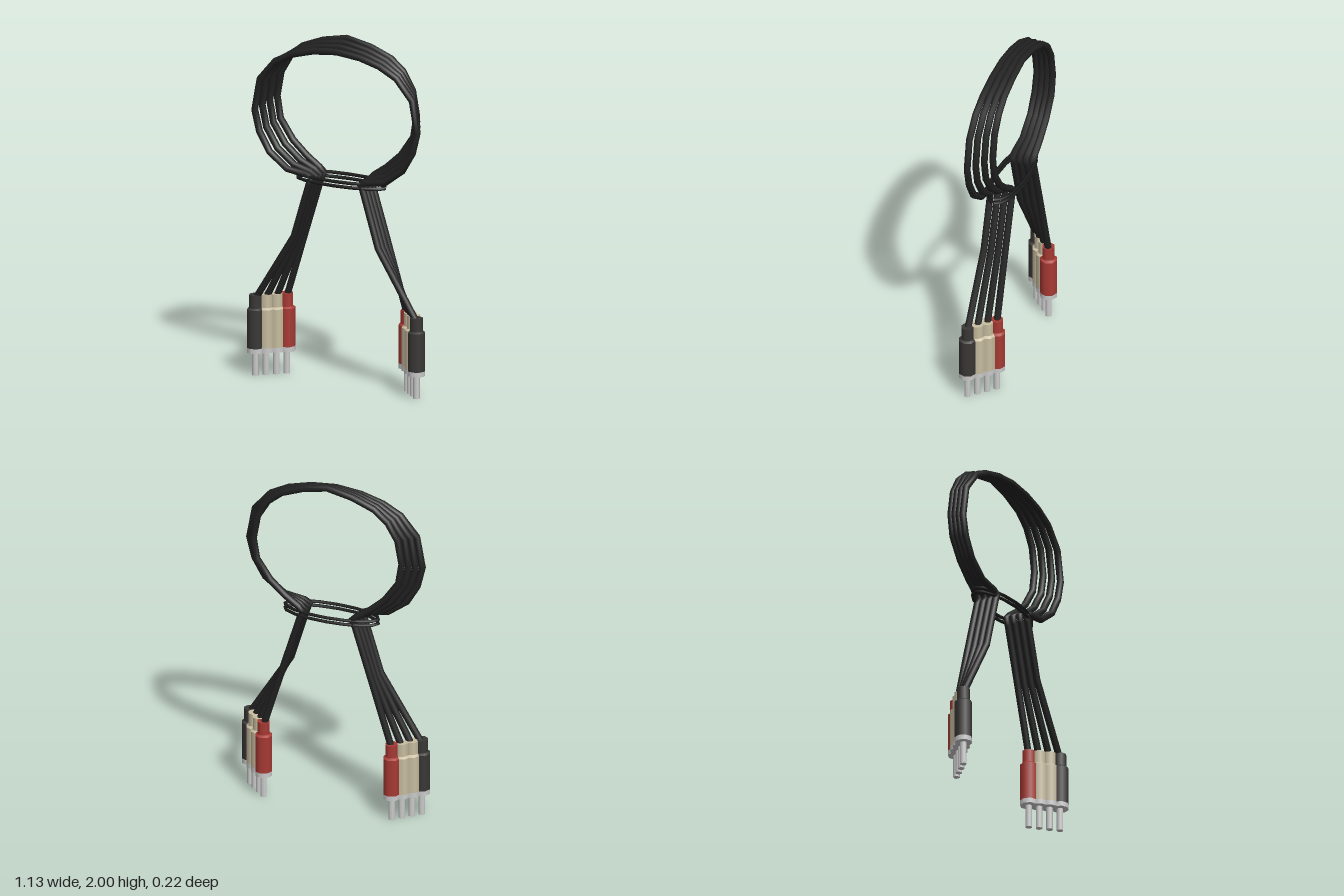
import * as THREE from 'three';

const mat = (color, extra = {}) => new THREE.MeshStandardMaterial({ color, ...extra });

// Curve through points with straight runs; bends sit exactly on the points
class Polyline extends THREE.Curve {
  constructor(points, closed = false) {
    super();
    this.points = points;
    this.closed = closed;
  }
  index(t) {
    return Math.round(t * (this.points.length - 1));
  }
  getPoint(t, target = new THREE.Vector3()) {
    return target.copy(this.points[this.index(t)]);
  }
  getPointAt(t, target) {
    return this.getPoint(t, target);
  }
  getTangent(t, target = new THREE.Vector3()) {
    const p = this.points, i = this.index(t), last = p.length - 1;
    const dir = (a, b) => new THREE.Vector3().subVectors(p[b], p[a]).normalize();
    if (i === 0) return target.copy(dir(0, 1));
    if (i === last) return target.copy(dir(last - 1, last));
    return target.addVectors(dir(i - 1, i), dir(i, i + 1)).normalize();
  }
  getTangentAt(t, target) {
    return this.getTangent(t, target);
  }
}

// Right half of the first and last cable, from plug to top of the coil
const FRONT = [
  [0.515, 0.44], [0.27, 0.83], [0.172, 1.15], [0.155, 1.185], [0.19, 1.198], [0.31, 1.215],
  [0.425, 1.30], [0.49, 1.41], [0.52, 1.53], [0.487, 1.71], [0.388, 1.825],
  [0.28, 1.88], [0.15, 1.915], [0, 1.93],
];
const BACK = [
  [0.385, 0.44], [0.265, 0.83], [0.165, 1.15], [0.145, 1.19], [0.175, 1.215], [0.255, 1.27],
  [0.345, 1.35], [0.425, 1.465], [0.446, 1.59], [0.42, 1.735], [0.36, 1.835],
  [0.28, 1.90], [0.15, 1.95], [0, 1.98],
];

// Connector: metal pin, collar and two-step octagonal sleeve
function createPlug(sleeveMat, metalMat) {
  const plug = new THREE.Group();
  const add = (name, r0, r1, y0, y1, material, sides = 8) => {
    const mesh = new THREE.Mesh(new THREE.CylinderGeometry(r1, r0, y1 - y0, sides), material);
    mesh.name = name;
    mesh.position.y = (y0 + y1) / 2;
    plug.add(mesh);
  };
  add('pin', 0.019, 0.019, 0, 0.14, metalMat);
  add('collar', 0.05, 0.05, 0.132, 0.16, metalMat);
  add('sleeve', 0.05, 0.05, 0.16, 0.38, sleeveMat);
  add('sleeveShoulder', 0.05, 0.037, 0.38, 0.39, sleeveMat);
  add('sleeveNeck', 0.037, 0.037, 0.39, 0.465, sleeveMat);
  return plug;
}

export function createModel() {
  const model = new THREE.Group();
  const cableMat = mat(0x222222);
  const bandMat = mat(0x1c1c1c);
  const metalMat = mat(0xcccccc);
  const beige = mat(0xc8bda0);
  const sleeves = [mat(0x3a3836), beige, beige, mat(0xa83a34)];

  // Four cables side by side, each with a plug on both ends
  for (let i = 0; i < 4; i++) {
    const k = i / 3;
    const z = 0.062 - 0.124 * k;
    const half = FRONT.map(([x, y], j) => new THREE.Vector3(
      THREE.MathUtils.lerp(x, BACK[j][0], k),
      THREE.MathUtils.lerp(y, BACK[j][1], k), z));
    const mirrored = half.slice(0, -1).reverse().map((p) => new THREE.Vector3(-p.x, p.y, z));
    const path = new Polyline([...half, ...mirrored]);
    const cable = new THREE.Mesh(
      new THREE.TubeGeometry(path, path.points.length - 1, 0.02, 8), cableMat);
    cable.name = 'cable';
    model.add(cable);

    for (const side of [1, -1]) {
      const plug = createPlug(sleeves[i], metalMat);
      plug.name = side > 0 ? 'leftPlug' : 'rightPlug';
      plug.position.set(side * half[0].x, 0, z);
      model.add(plug);
    }
  }

  // Two turns of an elastic band holding the bundle
  for (const y of [1.165, 1.19]) {
    const ring = [];
    for (let i = 0; i <= 16; i++) {
      const a = (i / 16) * Math.PI * 2;
      ring.push(new THREE.Vector3(0.28 * Math.cos(a), y, 0.09 * Math.sin(a)));
    }
    const band = new THREE.Mesh(
      new THREE.TubeGeometry(new Polyline(ring), 16, 0.01, 6), bandMat);
    band.name = 'band';
    model.add(band);
  }
  return model;
}
